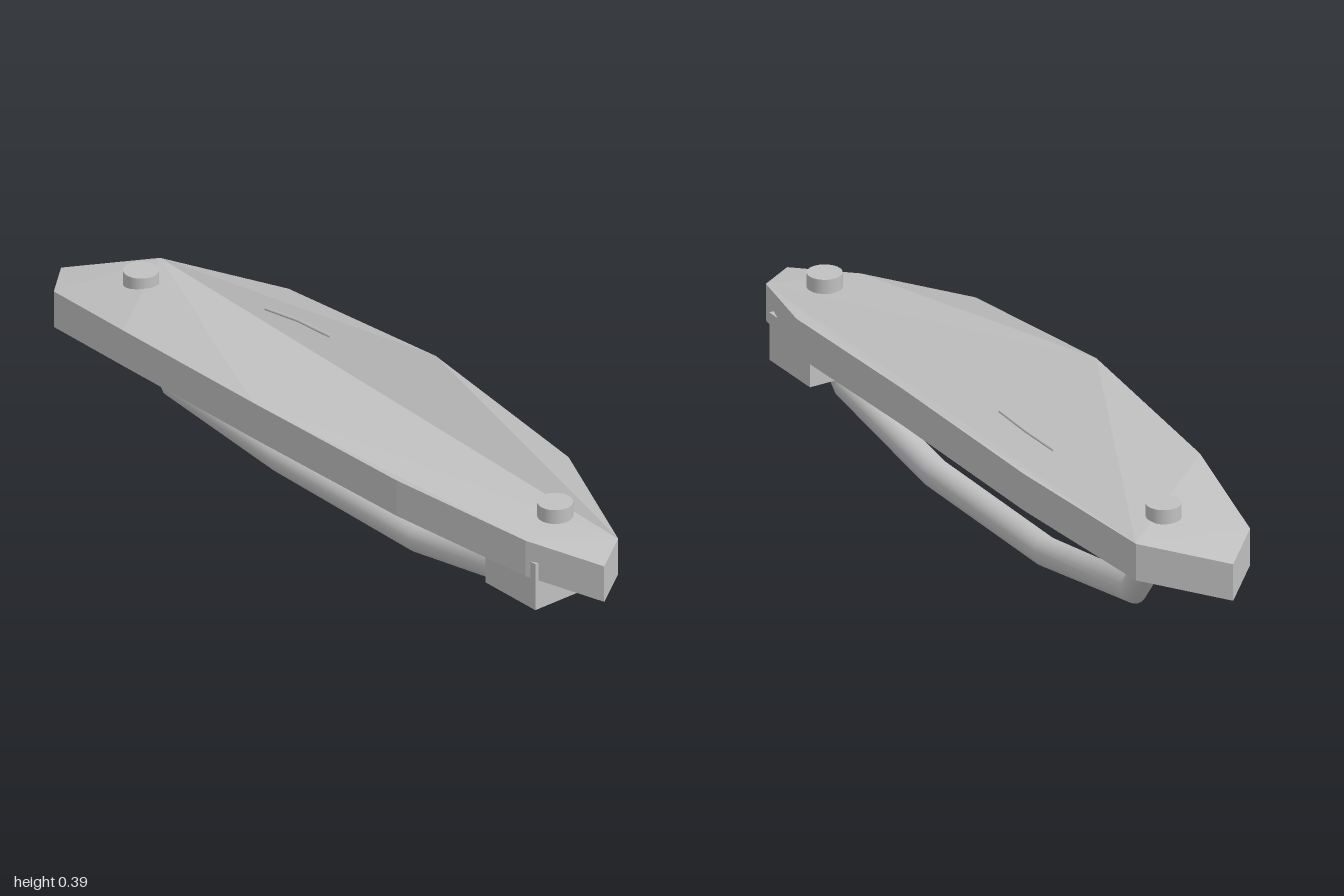
import * as THREE from 'three';

const grey = new THREE.MeshStandardMaterial({ color: 0xc0c0c0 });
grey.name = 'plain grey';

// Straight-sided path: one ring per corner, with the tangent halving each bend.
class Polyline extends THREE.Curve {
  constructor(points) {
    super();
    this.points = points.map((p) => new THREE.Vector3(...p));
    this.count = points.length - 1;
  }
  getPoint(t, target = new THREE.Vector3()) {
    const i = Math.min(Math.floor(t * this.count + 1e-6), this.count - 1);
    return target.lerpVectors(this.points[i], this.points[i + 1], t * this.count - i);
  }
  getPointAt(u, target) { return this.getPoint(u, target); }
  getTangentAt(u, target = new THREE.Vector3()) {
    const i = Math.round(u * this.count);
    target.set(0, 0, 0);
    for (const k of [i - 1, i]) {
      if (k < 0 || k >= this.count) continue;
      target.add(this.points[k + 1].clone().sub(this.points[k]).normalize());
    }
    return target.normalize();
  }
}

function rod(points, radius, sides) {
  return new THREE.TubeGeometry(new Polyline(points), points.length - 1, radius, sides, false);
}

// Arched plate: an outline of x, top height, z, closed by triangulated caps.
function plateGeometry() {
  const thickness = 0.098;
  const outline = [
    [-1, 0.282, 0.025], [-0.835, 0.315, -0.15], [-0.445, 0.365, -0.225], [0.08, 0.39, -0.245],
    [0.62, 0.349, -0.205], [0.93, 0.291, -0.097], [1, 0.281, 0.008], [0.82, 0.312, 0.105],
    [0.46, 0.366, 0.208], [-0.03, 0.39, 0.245], [-0.56, 0.357, 0.207], [-0.89, 0.304, 0.143],
  ];
  const topFaces = [[0, 1, 11], [1, 10, 11], [1, 9, 10], [1, 5, 9], [1, 2, 3],
    [1, 3, 5], [3, 4, 5], [5, 7, 9], [7, 8, 9], [5, 6, 7]];
  const bottomFaces = [[0, 10, 11], [0, 9, 10], [0, 8, 9], [0, 4, 8], [0, 3, 4],
    [0, 2, 3], [0, 1, 2], [4, 7, 8], [4, 5, 7], [5, 6, 7]];
  const top = outline.map((p) => new THREE.Vector3(...p));
  const bottom = top.map((p) => new THREE.Vector3(p.x, p.y - thickness, p.z));
  const corners = [];
  // The outline runs clockwise from above, so the upper cap is reversed.
  for (const [a, b, c] of topFaces) corners.push(top[a], top[c], top[b]);
  for (const [a, b, c] of bottomFaces) corners.push(bottom[a], bottom[b], bottom[c]);
  top.forEach((p, i) => {
    const j = (i + 1) % top.length;
    corners.push(p, top[j], bottom[j], p, bottom[j], bottom[i]);
  });
  const geometry = new THREE.BufferGeometry().setFromPoints(corners);
  geometry.computeVertexNormals();
  return geometry;
}

export function createModel() {
  const model = new THREE.Group();
  model.name = 'archedPlateWithHandle';
  const add = (name, geometry, x = 0, y = 0, z = 0) => {
    const mesh = new THREE.Mesh(geometry, grey);
    mesh.name = name;
    mesh.position.set(x, y, z);
    model.add(mesh);
  };

  add('plate', plateGeometry());

  // Round buttons above both ends
  for (const [name, x] of [['rightButton', -0.755], ['leftButton', 0.785]]) {
    add(name, new THREE.CylinderGeometry(0.044, 0.044, 0.038, 32), x, 0.342, -0.02);
  }

  // Block that holds one end of the handle
  add('handleBlock', new THREE.BoxGeometry(0.185, 0.127, 0.237), 0.757, 0.1935, -0.0195);

  // Bent grip under the plate
  add('handle', rod([
    [-0.755, 0.25, -0.03], [-0.642, 0.088, -0.034], [-0.26, 0.038, -0.046],
    [0.26, 0.038, -0.036], [0.665, 0.106, -0.027], [0.75, 0.19, -0.027],
  ], 0.037, 24));

  // Thin wire over the plate
  add('wire', rod([
    [-0.39, 0.376, -0.104], [-0.28, 0.385, -0.114], [-0.16, 0.391, -0.114],
  ], 0.004, 8));

  return model;
}
